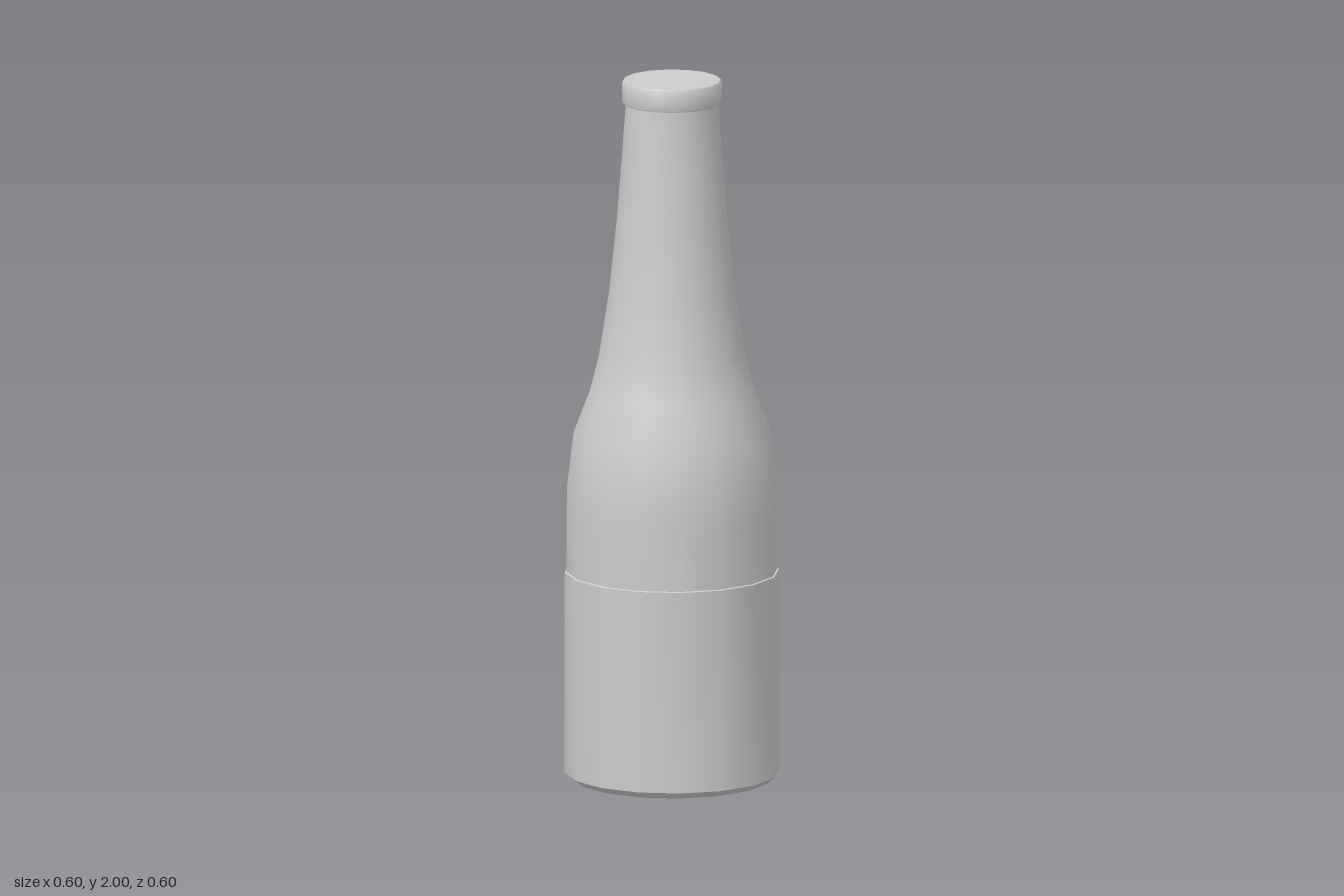
import * as THREE from 'three';
import { toCreasedNormals } from 'three/addons/utils/BufferGeometryUtils.js';

const SIDES = 16;

// Turned part from [radius, height] pairs, listed bottom to top
function turned(name, profile) {
  const points = profile.map(([r, y]) => new THREE.Vector2(r, y));
  const geometry = toCreasedNormals(new THREE.LatheGeometry(points, SIDES), 0.8);
  const mesh = new THREE.Mesh(geometry, new THREE.MeshStandardMaterial({ color: 0xcccccc }));
  mesh.name = name;
  return mesh;
}

export function createModel() {
  const group = new THREE.Group();
  group.name = 'bottle';

  // Base, straight body with a slight step, shoulder and tapering neck
  group.add(turned('bottleBody', [
    [0, 0], [0.25, 0.003], [0.28, 0.01], [0.3, 0.028],
    [0.3, 0.6], [0.295, 0.602], [0.295, 0.77], [0.293, 0.85],
    [0.275, 1.0], [0.229, 1.12], [0.204, 1.22], [0.176, 1.4],
    [0.155, 1.6], [0.139, 1.8], [0.129, 1.94],
  ]));

  // Flat closed cap, slightly wider than the neck
  group.add(turned('cap', [
    [0, 1.935], [0.138, 1.935], [0.14, 1.94], [0.14, 1.995], [0.136, 2], [0, 2],
  ]));

  return group;
}
